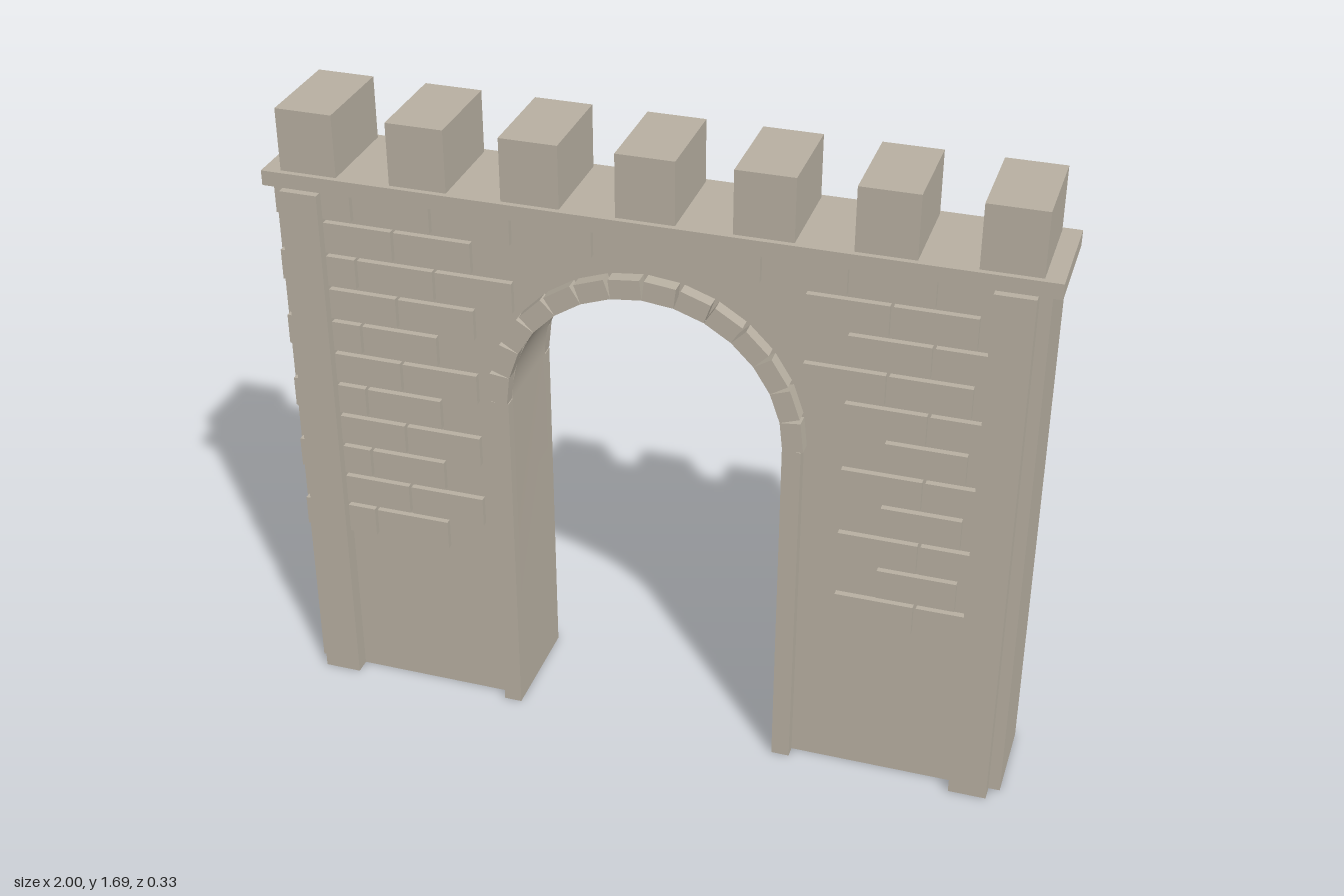
import * as THREE from 'three';
import { toCreasedNormals } from 'three/addons/utils/BufferGeometryUtils.js';

const stone = new THREE.MeshStandardMaterial({ color: 0xb8b0a2 });
stone.name = 'warm grey stone';

const WALL_Z = 0.12;      // half thickness of the wall
const WALL_TOP = 1.485;
const OPENING = 0.36;     // half width and arch radius
const SPRING = 0.965;     // height where the arch starts

export function createModel() {
  const model = new THREE.Group();
  model.name = 'stoneGateway';

  function add(parent, name, geometry) {
    const mesh = new THREE.Mesh(geometry, stone);
    mesh.name = name;
    parent.add(mesh);
    return mesh;
  }
  // box given by its limits
  function block(parent, name, x0, x1, y0, y1, z0, z1) {
    const mesh = add(parent, name, new THREE.BoxGeometry(x1 - x0, y1 - y0, z1 - z0));
    mesh.position.set((x0 + x1) / 2, (y0 + y1) / 2, (z0 + z1) / 2);
    return mesh;
  }
  function group(name) {
    const g = new THREE.Group();
    g.name = name;
    model.add(g);
    return g;
  }

  // wall with the arched opening
  const outline = new THREE.Shape();
  outline.moveTo(-0.975, 0);
  outline.lineTo(-OPENING, 0);
  outline.lineTo(-OPENING, SPRING);
  outline.absarc(0, SPRING, OPENING, Math.PI, 0, true);
  outline.lineTo(OPENING, 0);
  outline.lineTo(0.975, 0);
  outline.lineTo(0.975, WALL_TOP);
  outline.lineTo(-0.975, WALL_TOP);
  const wall = new THREE.ExtrudeGeometry(outline, {
    depth: WALL_Z * 2, bevelEnabled: false, curveSegments: 40,
  });
  wall.translate(0, 0, -WALL_Z);
  add(model, 'wall', toCreasedNormals(wall, 0.5));

  // coping slab and merlons
  block(model, 'coping', -1, 1, WALL_TOP, 1.525, -0.143, 0.143);
  const merlons = group('merlons');
  for (let i = -3; i <= 3; i++) {
    const x = i * 0.2927;
    block(merlons, 'merlon', x - 0.075, x + 0.075, 1.525, 1.692, -0.128, 0.128);
  }

  // pilasters at the ends and jamb strips beside the opening
  const pilasters = group('pilasters');
  const jambs = group('jambs');
  for (const side of [-1, 1]) {
    for (const face of [-1, 1]) {
      const pilaster = block(pilasters, 'pilaster', 0.845, 0.945, 0, WALL_TOP, WALL_Z - 0.02, 0.163);
      const jamb = block(jambs, 'jamb', OPENING, 0.408, 0, SPRING, WALL_Z - 0.02, 0.152);
      for (const part of [pilaster, jamb]) {
        part.position.x *= side;
        part.position.z *= face;
      }
    }
  }

  // arch stones on both faces
  const arch = group('archStones');
  const count = 14;
  for (let i = 0; i < count; i++) {
    const angle = (i + 0.5) * Math.PI / count;
    for (const face of [-1, 1]) {
      const wedge = add(arch, 'archStone', new THREE.BoxGeometry(0.053, 0.081, 0.057));
      wedge.position.set(Math.cos(angle) * 0.3865, SPRING + Math.sin(angle) * 0.3865, face * 0.1285);
      wedge.rotation.z = angle;
    }
  }

  // raised brick courses: columns used in each row, from the bottom up
  const evenRow = [0, 1, 7, 8];
  const lowOddRow = [0, 1, 7];
  const highOddRow = [0, 1, 6, 7];
  const rows = [
    evenRow, lowOddRow, evenRow, lowOddRow, evenRow, lowOddRow, evenRow,
    highOddRow, [0, 1, 2, 7, 8], highOddRow, [0, 1, 2, 3, 5, 6, 7, 8],
  ];
  const bricks = group('bricks');
  rows.forEach((columns, r) => {
    const start = r % 2 ? -0.866 : -0.971;
    const y = 0.467 + r * 0.0945;
    for (const c of columns) {
      const x = start + c * 0.2112;
      for (const face of [-1, 1]) {
        const brick = block(bricks, 'brick', x, x + 0.203, y, Math.min(y + 0.083, WALL_TOP), WALL_Z - 0.01, 0.137);
        brick.position.z *= face;
      }
    }
  });

  return model;
}
